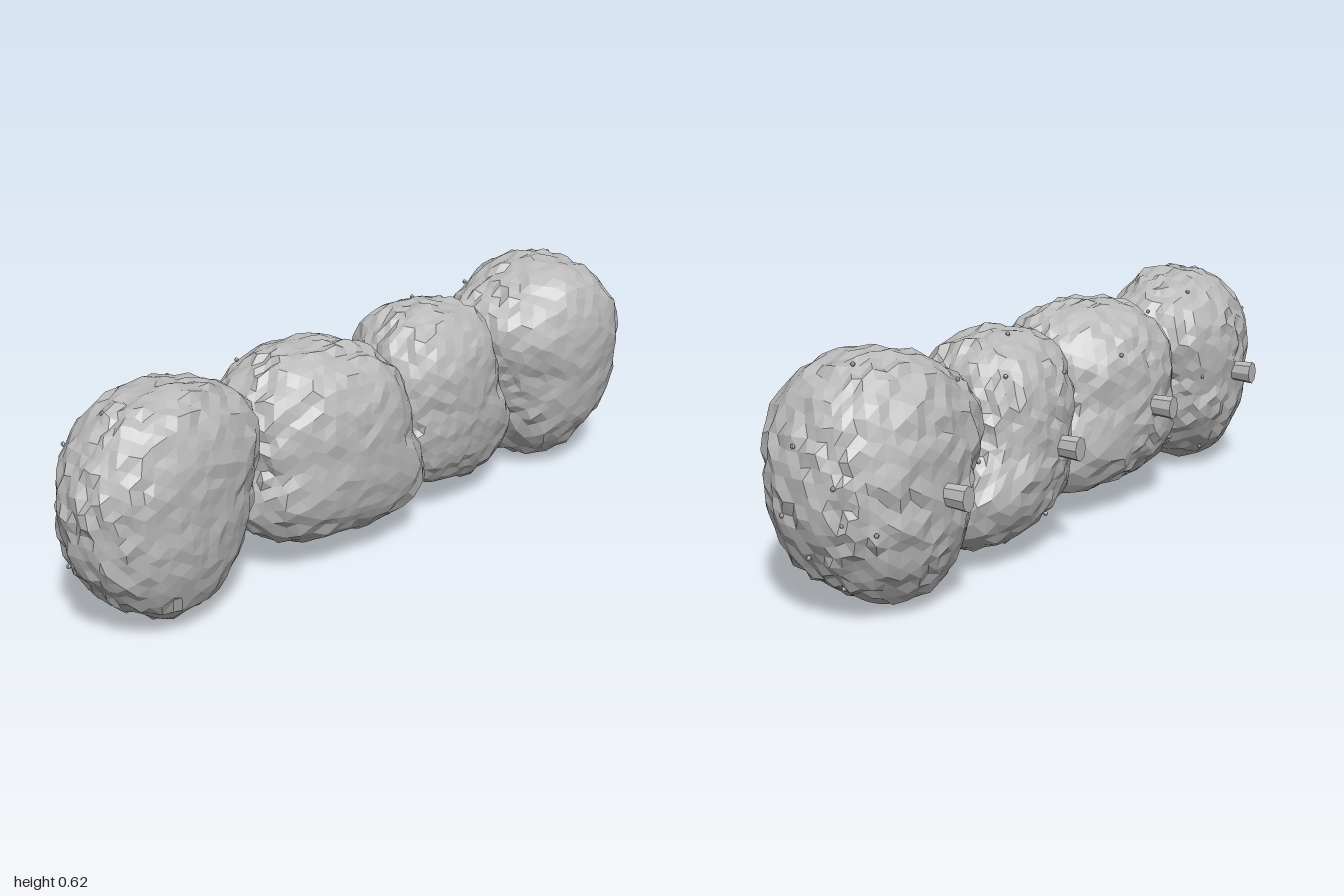
import * as THREE from 'three';
import { mergeVertices } from 'three/addons/utils/BufferGeometryUtils.js';

const stone = new THREE.MeshStandardMaterial({ color: 0xbababa, flatShading: true });
stone.name = 'grey stone';

// Each boulder: centre, front depth, widest z, skew of z along x, lean of the front along x and y,
// and outline radii every 30 degrees from +x
const CY = 0.31, BACK = -0.193;
const BOULDERS = [
  { x: -0.71, front: 0.207, mid: 0.03, skew: -0.1, lean: [0, 0], r: [0.275, 0.325, 0.295, 0.28, 0.285, 0.285, 0.285, 0.28, 0.285, 0.3, 0.28, 0.27] },
  { x: -0.2, front: 0.232, mid: 0.03, skew: 0.1, lean: [0, 0], r: [0.285, 0.28, 0.275, 0.265, 0.28, 0.285, 0.275, 0.305, 0.275, 0.25, 0.295, 0.365] },
  { x: 0.27, front: 0.2, mid: 0.01, skew: -0.05, lean: [0, 0.05], r: [0.24, 0.225, 0.265, 0.265, 0.285, 0.26, 0.24, 0.245, 0.26, 0.255, 0.305, 0.34] },
  { x: 0.72, front: 0.242, mid: 0.005, skew: 0, lean: [0.1, 0.12], r: [0.28, 0.285, 0.305, 0.308, 0.3, 0.315, 0.255, 0.235, 0.28, 0.302, 0.285, 0.28] },
];

function seeded(seed) {
  let s = seed;
  return () => ((s = (s * 16807) % 2147483647) / 2147483647);
}

// Smoothly interpolated outline radius
function outline(r, angle) {
  const n = r.length, t = ((angle / (2 * Math.PI)) * n + n) % n;
  const i = Math.floor(t), f = t - i;
  const [a, b, c, d] = [-1, 0, 1, 2].map((k) => r[(i + k + n) % n]);
  return b + 0.5 * f * (c - a + f * (2 * a - 5 * b + 4 * c - d + f * (3 * (b - c) + d - a)));
}

// Point on a boulder's surface in direction d, squarer towards top and bottom
function surface(b, d) {
  const angle = Math.atan2(d.y, d.x), rho = Math.hypot(d.x, d.y);
  const n = (d.z > 0 ? 2.05 : 1.9) + 0.65 * Math.abs(Math.sin(angle));
  const s = Math.pow(Math.pow(rho, n) + Math.pow(Math.abs(d.z), n), -1 / n);
  const R = outline(b.r, angle) * rho * s;
  const dx = Math.cos(angle) * R, dy = Math.sin(angle) * R;
  const depth = d.z > 0 ? b.front - b.mid : b.mid - BACK;
  const lean = (b.lean[0] * dx + b.lean[1] * dy) * Math.max(d.z, 0);
  return new THREE.Vector3(b.x + dx, CY + dy, b.mid + d.z * s * depth + b.skew * dx + lean);
}

// Faceted boulder with jittered vertices, smoother on the front
function boulderGeometry(b, seed) {
  const rand = seeded(seed);
  let g = new THREE.IcosahedronGeometry(1, 9);
  g.deleteAttribute('uv');
  g.deleteAttribute('normal');
  g = mergeVertices(g, 1e-3);
  const pos = g.attributes.position, d = new THREE.Vector3();
  for (let i = 0; i < pos.count; i++) {
    d.fromBufferAttribute(pos, i).normalize();
    const rough = d.z > 0.75 ? 0.007 : 0.014;
    const p = surface(b, d).addScaledVector(d, (rand() - 0.5) * rough);
    p.x += (rand() - 0.5) * 0.01;
    p.y += (rand() - 0.5) * 0.01;
    pos.setXYZ(i, p.x, p.y, p.z);
  }
  g = g.toNonIndexed();
  g.computeVertexNormals();
  return g;
}

export function createModel() {
  const model = new THREE.Group();
  model.name = 'boulderRow';
  const add = (geo, name, parent) => {
    const m = new THREE.Mesh(geo, stone);
    m.name = name;
    parent.add(m);
    return m;
  };

  // peg flares towards its outer end at -z
  const pegGeo = new THREE.CylinderGeometry(0.024, 0.02, 0.1, 8).rotateX(-Math.PI / 2).scale(1, 1.35, 1);
  const beadGeo = new THREE.SphereGeometry(0.006, 8, 6);

  BOULDERS.forEach((b, i) => {
    const group = new THREE.Group();
    group.name = 'boulderSection' + (i + 1);
    model.add(group);
    add(boulderGeometry(b, 101 + i * 977), 'boulder', group);

    // mounting peg on the back
    const peg = add(pegGeo, 'backPeg', group);
    peg.position.set(-0.695 + i * 0.474, 0.302, -0.202);

    // small beads scattered over the sides and back
    const rand = seeded(31 + i * 613);
    for (let k = 0; k < 8; k++) {
      const z = -0.8 + k * 0.11, a = k * 2.4 + i + rand() * 0.6;
      const q = Math.sqrt(1 - z * z);
      const d = new THREE.Vector3(q * Math.cos(a), q * Math.sin(a), z);
      add(beadGeo, 'bead', group).position.copy(surface(b, d).addScaledVector(d, 0.005));
    }
  });

  // beads on the outer end
  [[0.975, 0.44, 0.052], [0.985, 0.273, 0.085], [0.965, 0.273, -0.077], [0.93, 0.234, 0.133], [0.97, 0.178, 0.022]]
    .forEach((p) => add(beadGeo, 'bead', model).position.set(...p));
  return model;
}
